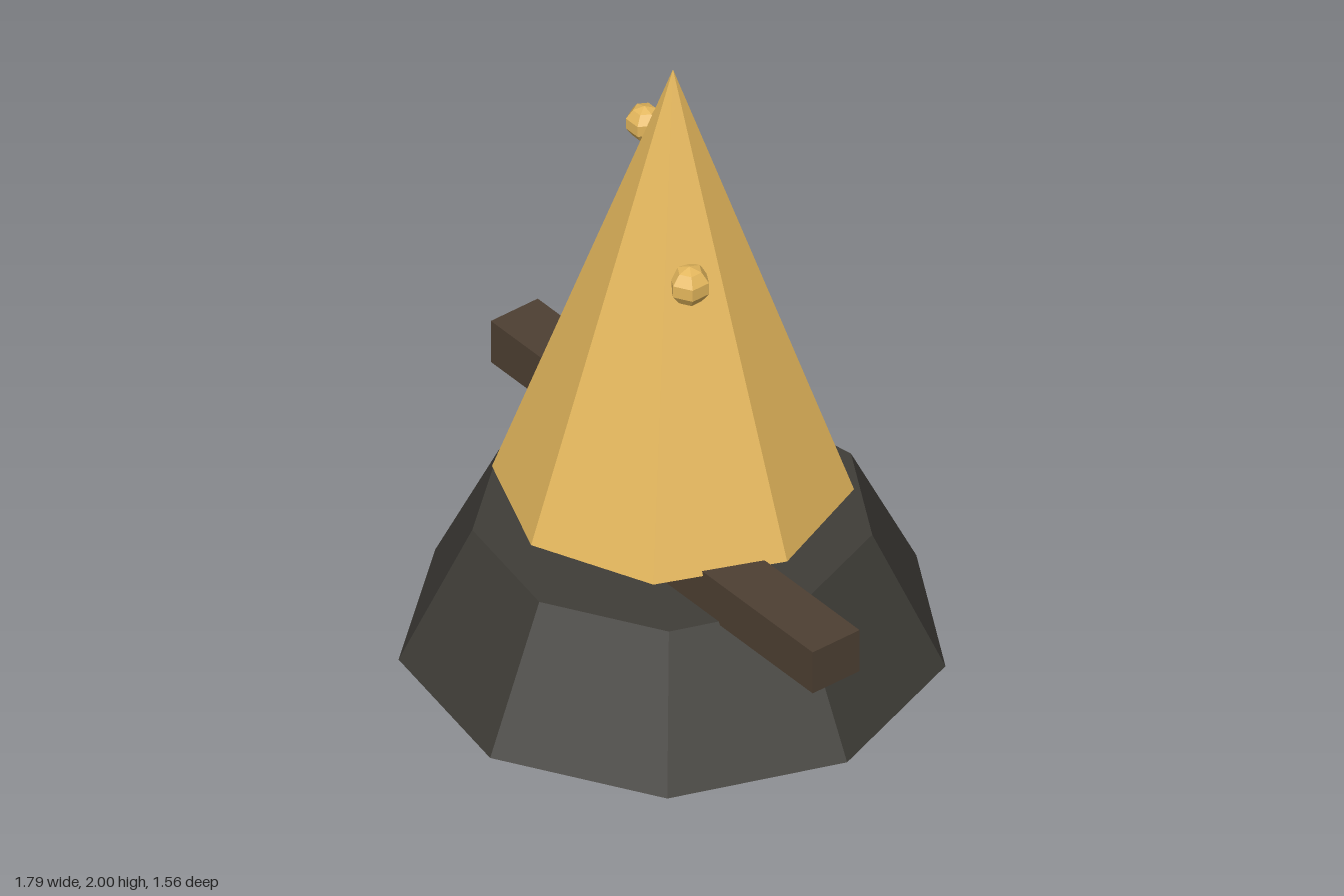
import * as THREE from 'three';

export function createModel() {
  const group = new THREE.Group();
  const material = (color) => new THREE.MeshStandardMaterial({ color, flatShading: true });
  const gold = material(0xe3b65c);
  const stone = material(0x3f3d38);
  const wood = material(0x4d3f32);

  const add = (name, geometry, mat, x, y, z) => {
    const mesh = new THREE.Mesh(geometry, mat);
    mesh.name = name;
    mesh.position.set(x, y, z);
    group.add(mesh);
    return mesh;
  };

  const axisX = -0.03;

  // Nine-sided tapered base, one corner pointing to +x
  add('base', new THREE.CylinderGeometry(0.58, 0.793, 0.435, 9).rotateY(Math.PI / 2),
    stone, axisX, 0.2175, 0);

  // Two logs resting on the base, sticking out on opposite sides
  const log = () => new THREE.BoxGeometry(1.21, 0.145, 0.172);
  add('leftLog', log(), wood, 0.288, 0.497, 0.145);
  add('rightLog', log(), wood, -0.293, 0.527, -0.117);

  // Eight-sided flame
  add('flame', new THREE.ConeGeometry(0.52, 1.445, 8), gold, axisX, 1.2775, 0);

  // Sparks beside the flame
  add('upperSpark', new THREE.SphereGeometry(0.056, 6, 5), gold, -0.235, 1.67, -0.06);
  add('lowerSpark', new THREE.SphereGeometry(0.063, 6, 5), gold, 0.157, 1.388, 0.09)
    .rotation.y = Math.PI / 2;

  return group;
}
